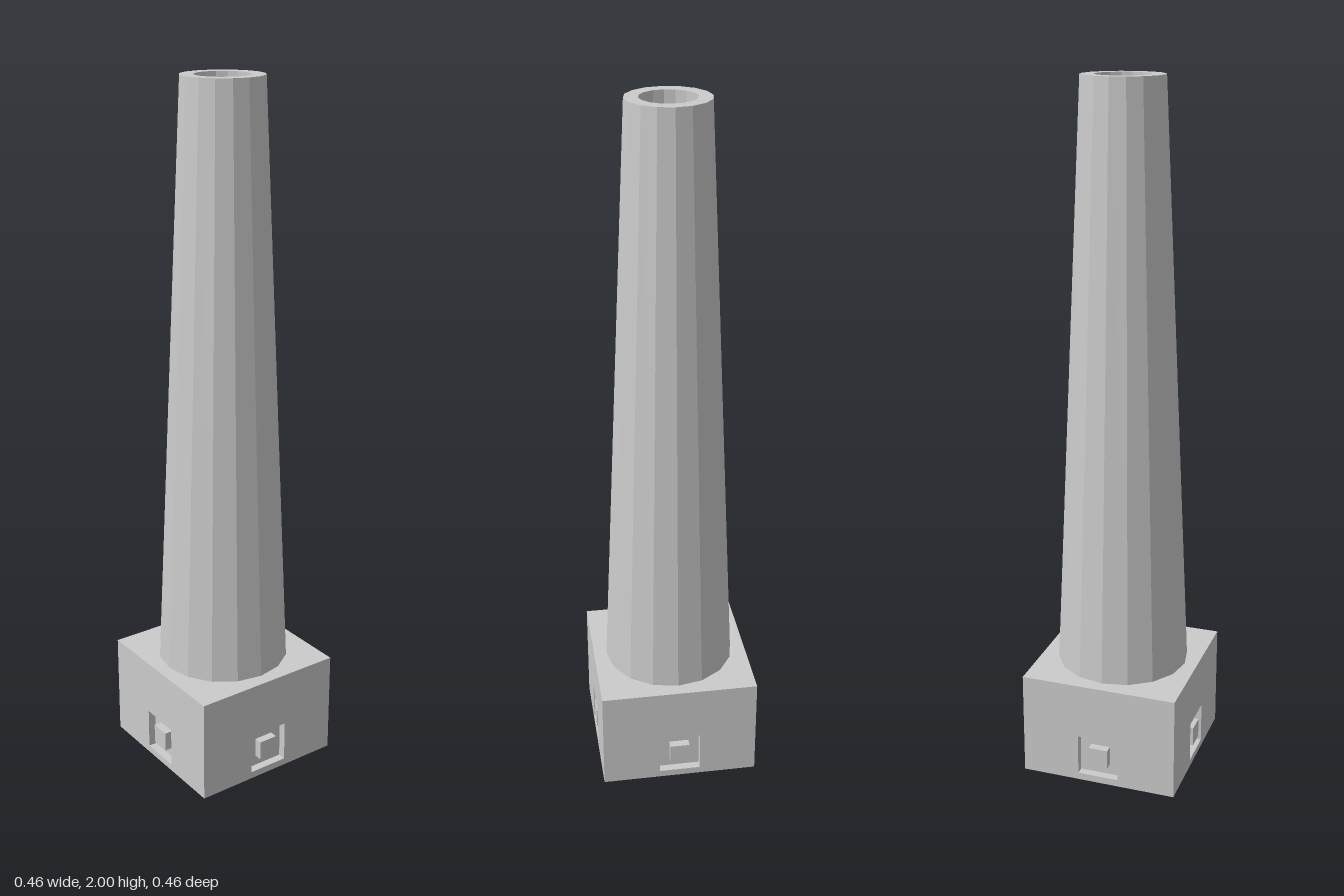
import * as THREE from 'three';

const HALF = 0.231;      // half width of the base
const BASE_H = 0.308;    // height of the base
const HATCH_Y = 0.082;   // centre height of the hatches
const HATCH = 0.122;     // hatch opening
const PLUG = 0.058;      // block inside the opening
const DEPTH = 0.024;     // recess depth

const material = new THREE.MeshStandardMaterial({ color: 0xcccccc, flatShading: true });

function addMesh(parent, name, geometry) {
  const mesh = new THREE.Mesh(geometry, material);
  mesh.name = name;
  parent.add(mesh);
  return mesh;
}

// One wall of the base with its recessed hatch, facing +z
function createWall() {
  const wall = new THREE.Group();
  wall.name = 'baseWall';

  const shape = new THREE.Shape([
    new THREE.Vector2(-HALF, 0), new THREE.Vector2(HALF, 0),
    new THREE.Vector2(HALF, BASE_H), new THREE.Vector2(-HALF, BASE_H),
  ]);
  const h = HATCH / 2;
  shape.holes.push(new THREE.Path([
    new THREE.Vector2(-h, HATCH_Y - h), new THREE.Vector2(-h, HATCH_Y + h),
    new THREE.Vector2(h, HATCH_Y + h), new THREE.Vector2(h, HATCH_Y - h),
  ]));
  const panel = new THREE.ExtrudeGeometry(shape, { depth: DEPTH, bevelEnabled: false });

  // Mitre the hidden rear rim so neighbouring walls meet cleanly
  const p = panel.attributes.position;
  for (let i = 0; i < p.count; i++) {
    if (p.getZ(i) > DEPTH / 2 || Math.abs(p.getX(i)) < HALF - 0.01) continue;
    p.setX(i, Math.sign(p.getX(i)) * (HALF - DEPTH));
    p.setY(i, p.getY(i) < BASE_H / 2 ? 0.01 : BASE_H - 0.01);
  }
  panel.computeVertexNormals();
  addMesh(wall, 'wallPanel', panel).position.z = HALF - DEPTH;

  addMesh(wall, 'hatchRecess', new THREE.PlaneGeometry(HATCH, HATCH))
    .position.set(0, HATCH_Y, HALF - DEPTH);
  addMesh(wall, 'hatchBlock', new THREE.BoxGeometry(PLUG, PLUG, DEPTH))
    .position.set(0, HATCH_Y, HALF - DEPTH / 2);
  return wall;
}

export function createModel() {
  const model = new THREE.Group();
  model.name = 'chimney';

  // Square base: four walls, top and underside
  const base = new THREE.Group();
  base.name = 'base';
  for (let i = 0; i < 4; i++) {
    const wall = createWall();
    wall.rotation.y = i * Math.PI / 2;
    base.add(wall);
  }
  const top = addMesh(base, 'baseTop', new THREE.PlaneGeometry(2 * HALF, 2 * HALF));
  top.rotation.x = -Math.PI / 2;
  top.position.y = BASE_H;
  const underside = addMesh(base, 'baseUnderside', new THREE.PlaneGeometry(2 * HALF, 2 * HALF));
  underside.rotation.x = Math.PI / 2;
  model.add(base);

  // Tapered sixteen-sided stack with a straight flue, open at the top
  const profile = [[0.193, BASE_H], [0.115, 2], [0.077, 2], [0.077, BASE_H]]
    .map(([r, y]) => new THREE.Vector2(r, y));
  addMesh(model, 'stack', new THREE.LatheGeometry(profile, 16));

  return model;
}
